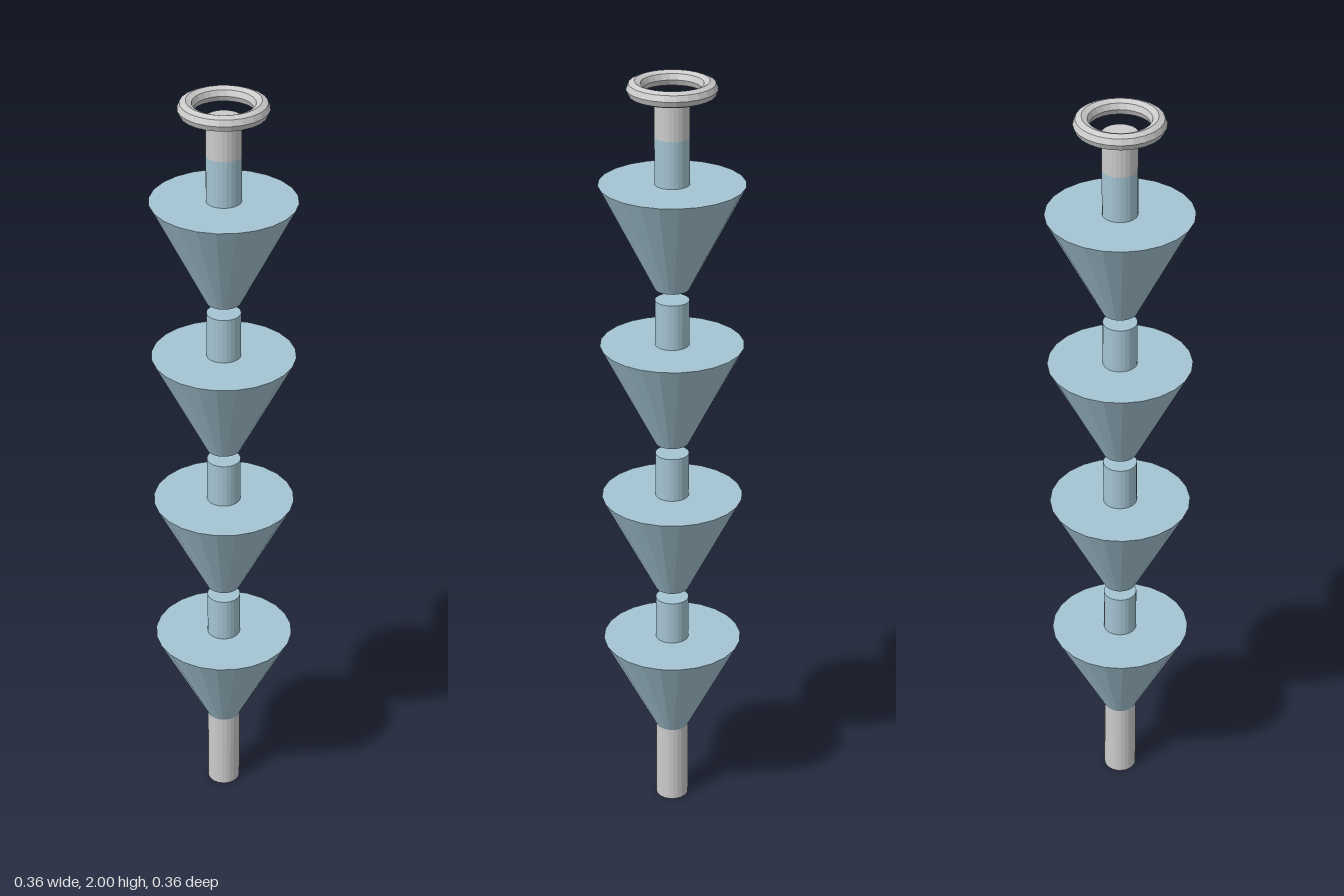
import * as THREE from 'three';

const grey = new THREE.MeshStandardMaterial({ color: 0xcccccc, flatShading: true });
const blue = new THREE.MeshStandardMaterial({ color: 0xa4c4d2, flatShading: true });

const ROD = 0.043;   // radius of every stem
const RIM = 0.18;    // radius of the cone tops
const SIDES = 24;
const STEP = 0.418;  // height from one cone to the next

// Upright frustum between two heights
function frustum(name, bottom, top, rBottom, rTop, material) {
  const geometry = new THREE.CylinderGeometry(rTop, rBottom, top - bottom, SIDES);
  const mesh = new THREE.Mesh(geometry, material);
  mesh.position.y = (bottom + top) / 2;
  mesh.name = name;
  return mesh;
}

export function createModel() {
  const model = new THREE.Group();
  model.name = 'coneChain';

  // Grey rod at the foot
  model.add(frustum('bottomRod', 0, 0.22, ROD, ROD, grey));

  // Four separate cones, each with a short stem on top
  for (let i = 0; i < 4; i++) {
    const segment = new THREE.Group();
    segment.name = `segment${i + 1}`;
    segment.position.y = 0.22 + i * STEP;
    segment.add(
      frustum('cone', 0, 0.27, ROD, RIM, blue),
      frustum('stem', 0.27, 0.388, ROD, ROD, blue)
    );
    model.add(segment);
  }

  // Grey neck and the ring lying above it
  model.add(frustum('neck', 1.862, 1.957, ROD, ROD, grey));
  const ring = new THREE.Mesh(new THREE.TorusGeometry(0.09, 0.02, 8, SIDES), grey);
  ring.name = 'topRing';
  ring.rotation.x = Math.PI / 2;
  ring.position.y = 1.98;
  model.add(ring);

  return model;
}
